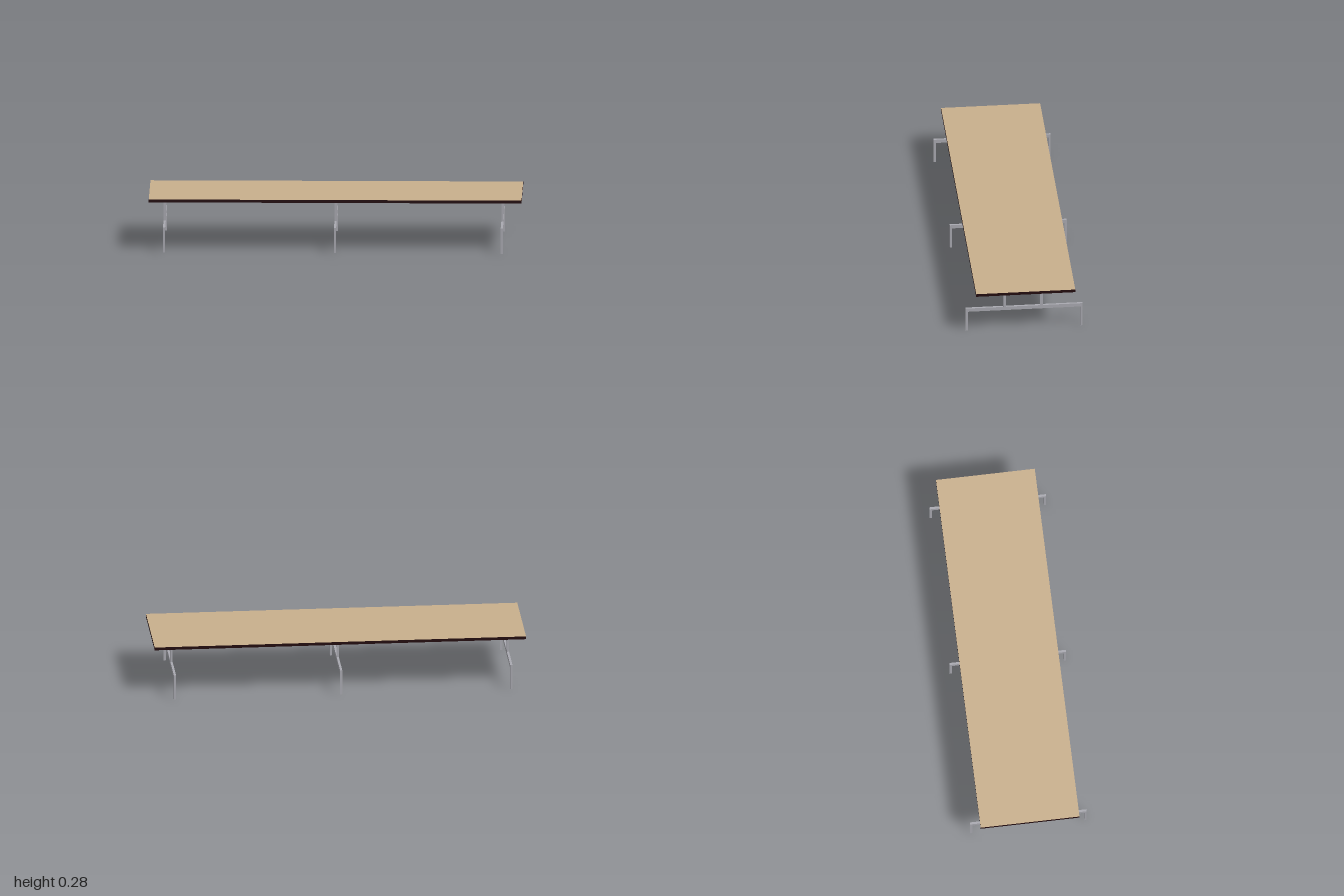
import * as THREE from 'three';

export function createModel() {
  const model = new THREE.Group();
  const mat = (name, color) => {
    const m = new THREE.MeshStandardMaterial({ color });
    m.name = name;
    return m;
  };
  const wood = mat('tan wood', 0xc8af8c);
  const edge = mat('dark edge', 0x220b0e);
  const metal = mat('grey metal', 0xa9a9b0);

  const box = (parent, name, size, position, material) => {
    const mesh = new THREE.Mesh(new THREE.BoxGeometry(...size), material);
    mesh.name = name;
    mesh.position.set(...position);
    parent.add(mesh);
  };

  // Board with wooden faces and dark edge banding
  box(model, 'tableTop', [2, 0.016, 0.534], [0, 0.273, 0.001],
    [edge, edge, wood, wood, edge, edge]);

  // Three trestles: crossbar, two outer legs, two posts up to the board
  const t = 0.012;
  for (const [name, x] of [['rightTrestle', -0.917], ['middleTrestle', 0], ['leftTrestle', 0.895]]) {
    const trestle = new THREE.Group();
    trestle.name = name;
    trestle.position.x = x;
    box(trestle, 'crossbar', [t, 0.02, 0.63], [0, 0.127, 0.001], metal);
    for (const z of [0.31, -0.308]) box(trestle, 'leg', [t, 0.117, 0.012], [0, 0.0585, z], metal);
    for (const z of [0.105, -0.094]) box(trestle, 'post', [t, 0.128, 0.016], [0, 0.201, z], metal);
    model.add(trestle);
  }
  return model;
}
